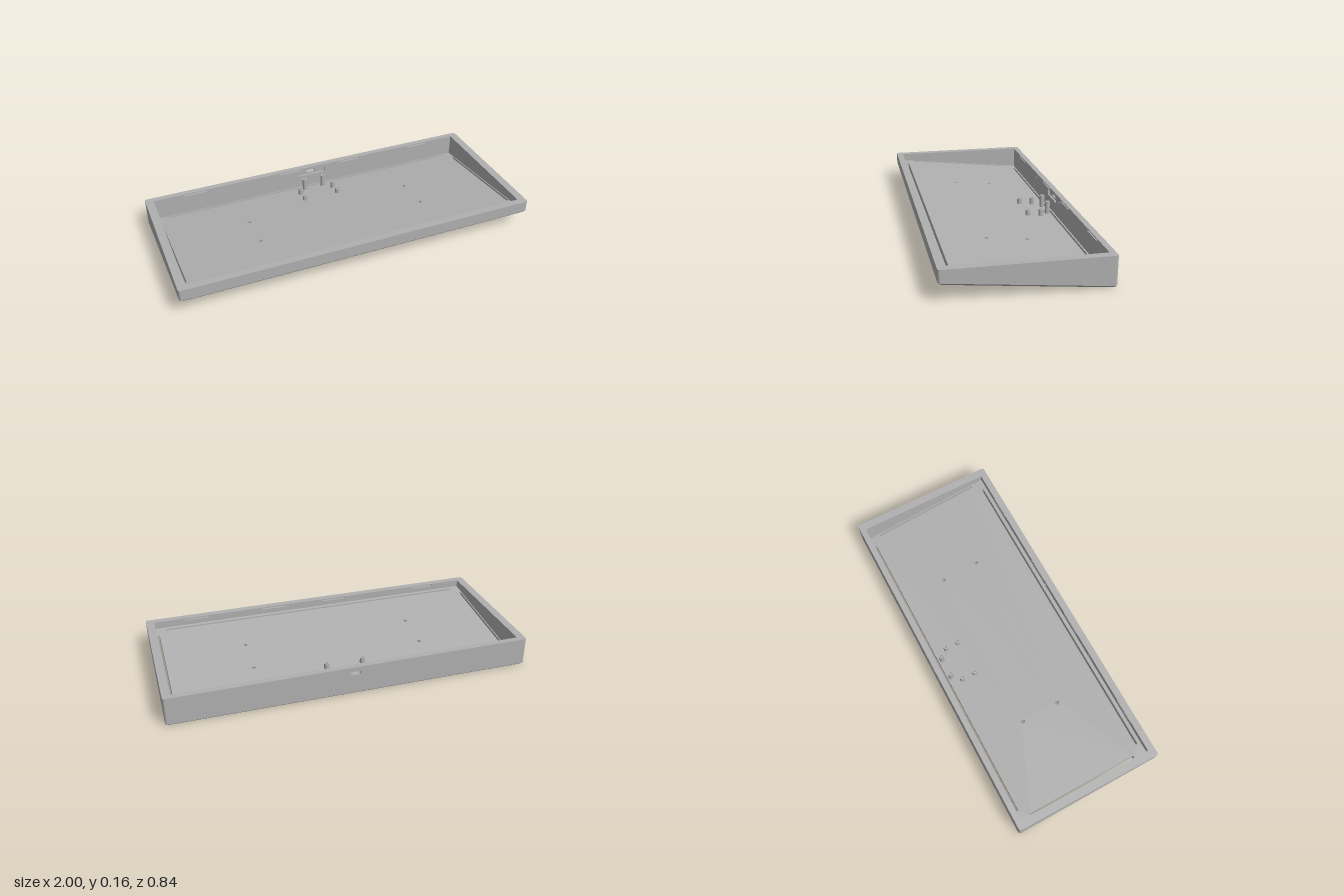
import * as THREE from 'three';
import { toCreasedNormals } from 'three/addons/utils/BufferGeometryUtils.js';

const TOP = 0.163, FLOOR = 0.037;            // rim height, floor thickness
const HX = 1, HZ = 0.42, R = 0.012;          // outer half sizes, corner radius
const IX = 0.955, IZB = -0.388, IZF = 0.382; // inner opening
const PX = 0.85;                             // half length of the straight wall panels
const base = z => 0.0441 + 0.107 * z;        // sloping underside

// Outlines given as [x, z] points or, for panels, as [x, y] points
const plan = (pts, C = THREE.Path) => new C(pts.map(([x, z]) => new THREE.Vector2(x, -z)));
const rect = (x0, y0, x1, y1, C = THREE.Path) =>
  new C([[x0, y0], [x1, y0], [x1, y1], [x0, y1]].map(p => new THREE.Vector2(...p)));
const slot = (x, z, w, d) => rect(x - w / 2, -z - d / 2, x + w / 2, -z + d / 2);
const circle = (x, y, r) => new THREE.Path().absarc(x, y, r, 0, Math.PI * 2);

// Quarter-round corner points
function corner(sx, sz) {
  const pts = [];
  for (let i = 0; i <= 4; i++) {
    const a = i / 4 * Math.PI / 2;
    pts.push([sx * (HX - R + R * Math.sin(a)), sz * (HZ - R + R * Math.cos(a))]);
  }
  return pts;
}

export function createModel() {
  const group = new THREE.Group();
  const grey = new THREE.MeshStandardMaterial({ color: 0xb0b0b0 });
  grey.name = 'grey plastic';

  const add = (name, geo) => {
    const mesh = new THREE.Mesh(geo, grey);
    mesh.name = name;
    group.add(mesh);
    return mesh;
  };

  // Extrude a plan upwards between two height rules; optionally chamfer its lower rim
  function slab(name, shape, holes, low, high, chamfer = 0) {
    shape.holes.push(...holes);
    const geo = new THREE.ExtrudeGeometry(shape, { depth: 1, bevelEnabled: false, curveSegments: 16 });
    geo.rotateX(-Math.PI / 2);
    const p = geo.attributes.position;
    for (let i = 0; i < p.count; i++) {
      let x = p.getX(i), z = p.getZ(i);
      const bottom = p.getY(i) < 0.5;
      if (bottom && (Math.abs(x) > 0.97 || Math.abs(z) > 0.4)) {
        x *= (HX - chamfer) / HX;
        z *= (HZ - chamfer) / HZ;
      }
      p.setXYZ(i, x, bottom ? low(z) : high(z), z);
    }
    geo.computeVertexNormals();
    return add(name, geo);
  }

  // Upright panel between two z positions
  function panel(name, y0, z0, z1, holes) {
    const shape = rect(-PX, y0, PX, TOP, THREE.Shape);
    shape.holes.push(...holes);
    const geo = new THREE.ExtrudeGeometry(shape, { depth: z1 - z0, bevelEnabled: false, curveSegments: 8 });
    geo.translate(0, 0, z0);
    add(name, geo);
  }

  // Sloping floor in three layers: foot recesses, underside pocket, screw holes
  const outline = () => plan([
    ...corner(1, 1), ...corner(1, -1).reverse(),
    ...corner(-1, -1), ...corner(-1, 1).reverse()], THREE.Shape);
  const slots = () => [
    slot(0, -0.373, 1.786, 0.012), slot(0, 0.357, 1.786, 0.012),
    slot(-0.943, -0.005, 0.012, 0.63), slot(0.943, -0.005, 0.012, 0.63)];
  const pocket = () => plan([
    [-0.605, -0.10], [-0.535, -0.17], [0.535, -0.17], [0.605, -0.10],
    [0.605, 0.09], [0.535, 0.16], [-0.535, 0.16], [-0.605, 0.09]]);
  const feet = [], screws = [];
  for (const sx of [-1, 1]) {
    for (const z of [-0.295, 0.295]) feet.push(circle(sx * 0.873, -z, 0.034));
    for (const z of [-0.115, 0.1]) screws.push(circle(sx * 0.485, -z, 0.011));
  }
  const level = h => z => base(z) + h;
  slab('chamferedBase', outline(), [...slots(), pocket(), ...feet], level(0), level(0.01), 0.01);
  slab('pocketLayer', outline(), [...slots(), pocket()], level(0.01), level(0.018));
  slab('trayFloor', outline(), [...slots(), ...screws], level(0.018), level(FLOOR));

  // Side walls with their rounded corners
  for (const s of [-1, 1]) {
    const shape = plan([
      [s * PX, -HZ], ...corner(s, -1), ...corner(s, 1).reverse(), [s * PX, HZ],
      [s * PX, IZF], [s * IX, IZF], [s * IX, IZB], [s * PX, IZB]], THREE.Shape);
    slab(s > 0 ? 'leftWall' : 'rightWall', shape, [], level(FLOOR), () => TOP);
  }

  // Back and front walls: plain outer skin, inner skin with clip notches
  const notches = () => [-0.71, -0.13, 0.25, 0.71].map(x => rect(x - 0.07, 0.149, x + 0.07, 0.157));
  const pins = () => [-0.34, 0.153].map(x => circle(x, 0.139, 0.006));
  const port = new THREE.Path();
  port.absarc(0.018, 0.127, 0.01, -Math.PI / 2, Math.PI / 2);
  port.absarc(-0.018, 0.127, 0.01, Math.PI / 2, Math.PI * 1.5);
  const yBack = base(-HZ) + FLOOR, yFront = base(IZF) + FLOOR;
  panel('backWallOuter', yBack, -HZ, IZB - 0.012, [port]);
  panel('backWallInner', yBack, IZB - 0.012, IZB,
    [...notches(), ...pins(), rect(-0.085, 0.11, 0.085, 0.144)]);
  panel('frontWallOuter', yFront, IZF + 0.012, HZ, []);
  panel('frontWallInner', yFront, IZF, IZF + 0.012, [...notches(), ...pins()]);

  // Hollow standoffs for the circuit board
  const posts = [
    [-0.06, -0.345, 0.115], [0.055, -0.345, 0.115],
    [-0.105, -0.295, 0.089], [0.1, -0.295, 0.089],
    [-0.105, -0.22, 0.089], [0.1, -0.22, 0.089]];
  for (const [x, z, top] of posts) {
    const foot = base(z) + FLOOR - 0.005;
    const profile = [[0.014, foot], [0.014, top], [0.006, top], [0.006, top - 0.025], [0, top - 0.025]];
    const geo = new THREE.LatheGeometry(profile.map(q => new THREE.Vector2(...q)), 20);
    add('standoff', toCreasedNormals(geo, 0.6)).position.set(x, 0, z);
  }
  return group;
}
